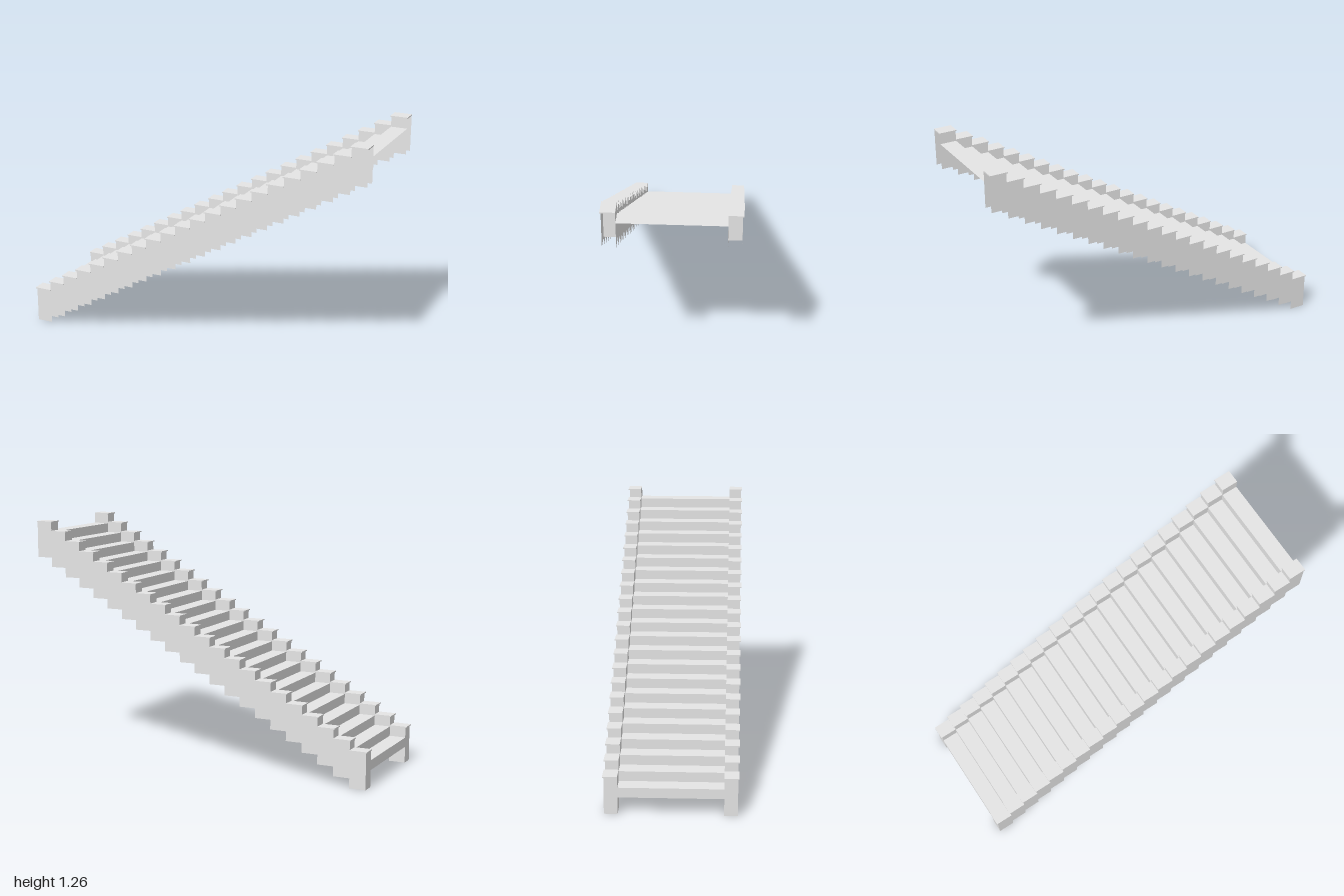
import * as THREE from 'three';

export function createModel() {
  // Walls, treads and risers are open sheets
  const stone = new THREE.MeshStandardMaterial({ color: 0xe5e5e5, side: THREE.DoubleSide });
  stone.name = 'pale grey';

  const steps = 22;
  const rise = 0.0507;
  const lip = 0.006; // cap overhang and thickness
  const length = 1.917, width = 0.665;
  const startX = -length / 2 + lip;
  const run = (length - lip) / steps;
  const wallWidth = 0.067, wallHeight = 0.19;
  const outerZ = width / 2 - lip;
  const innerZ = outerZ - wallWidth;
  const wallZ = (outerZ + innerZ) / 2;
  const treadTop = 0.138;

  const stairs = new THREE.Group();
  stairs.name = 'staircase';

  const addMesh = (name, parent, geometry, x, y, z) => {
    const mesh = new THREE.Mesh(geometry, stone);
    mesh.name = name;
    mesh.position.set(x, y, z);
    parent.add(mesh);
  };

  // Stepped side profile: along the top going up, back along the underside
  const points = [];
  for (let i = 0; i < steps; i++) {
    const x = startX + i * run;
    points.push(new THREE.Vector2(x, wallHeight + i * rise));
    points.push(new THREE.Vector2(x + run, wallHeight + i * rise));
  }
  for (let i = steps - 1; i >= 0; i--) {
    const x = startX + i * run;
    points.push(new THREE.Vector2(x + run, i * rise));
    points.push(new THREE.Vector2(x, i * rise));
  }
  const sideSheet = new THREE.ShapeGeometry(new THREE.Shape(points));

  // Upright sheets face down the stairs, tread sheets face up
  const wallFront = new THREE.PlaneGeometry(wallWidth, wallHeight).rotateY(-Math.PI / 2);
  const riser = new THREE.PlaneGeometry(2 * innerZ, rise).rotateY(-Math.PI / 2);
  const tread = new THREE.PlaneGeometry(run, 2 * innerZ).rotateX(-Math.PI / 2);
  const cap = new THREE.BoxGeometry(run + lip, lip, wallWidth + lip);

  // Two hollow walls, open below and at the upper end, capped on every step
  for (const side of [1, -1]) {
    const wall = new THREE.Group();
    wall.name = side > 0 ? 'frontSideWall' : 'backSideWall';
    addMesh('outerSheet', wall, sideSheet, 0, 0, side * outerZ);
    addMesh('innerSheet', wall, sideSheet, 0, 0, side * innerZ);
    for (let i = 0; i < steps; i++) {
      const x = startX + i * run, y = i * rise;
      addMesh('wallFront', wall, wallFront, x, y + wallHeight / 2, side * wallZ);
      addMesh('wallCap', wall, cap, x + (run - lip) / 2, y + wallHeight + lip / 2,
        side * (wallZ + lip / 2));
    }
    stairs.add(wall);
  }

  // Risers and treads between the walls
  for (let i = 0; i < steps; i++) {
    const x = startX + i * run, y = treadTop + i * rise;
    addMesh('riser', stairs, riser, x, y - rise / 2, 0);
    addMesh('tread', stairs, tread, x + run / 2, y, 0);
  }

  // The whole flight is turned slightly
  stairs.rotation.y = 0.168;

  const model = new THREE.Group();
  model.name = 'stairs';
  model.add(stairs);
  return model;
}
